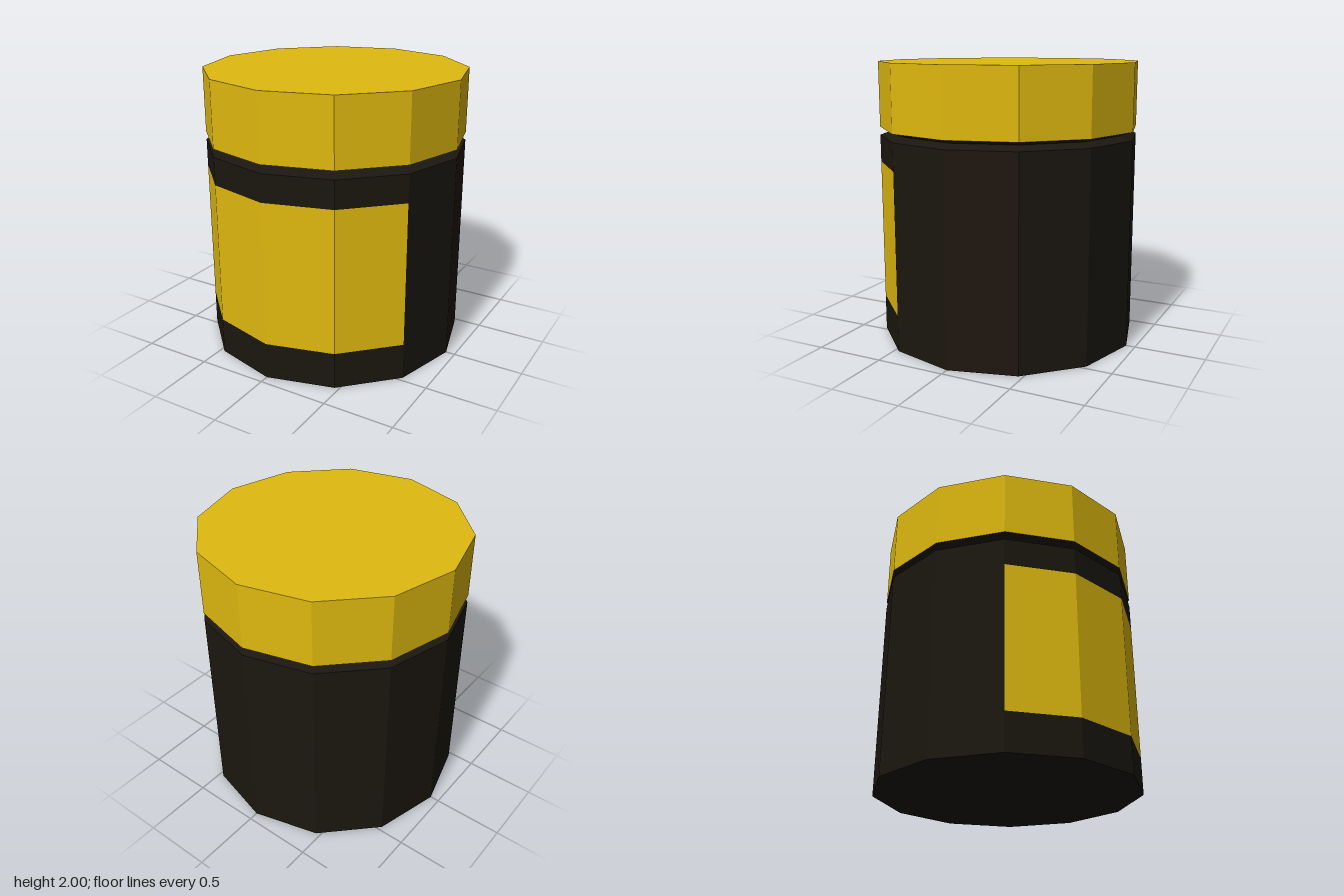
import * as THREE from 'three';

const RADIUS = 0.935;      // outer corner radius of the twelve-sided jar
const NECK_RADIUS = 0.845; // bottom of the groove under the lid
const STEP = 30;           // degrees per facet

const material = (color) => new THREE.MeshStandardMaterial({ color, flatShading: true });

export function createModel() {
  const jar = new THREE.Group();
  jar.name = 'jar';
  const yellow = material(0xdfb90f);
  const dark = material(0x1b1710);
  const brown = material(0x20160f);

  // Faceted wall between two heights, covering an arc in degrees measured from the front
  function wall(name, mat, y0, y1, { r0 = RADIUS, r1 = RADIUS, from = 0, to = 360 } = {}) {
    const geometry = new THREE.CylinderGeometry(
      r1, r0, y1 - y0, (to - from) / STEP, 1, true,
      THREE.MathUtils.degToRad(from), THREE.MathUtils.degToRad(to - from));
    const mesh = new THREE.Mesh(geometry, mat);
    mesh.name = name;
    mesh.position.y = (y0 + y1) / 2;
    jar.add(mesh);
  }

  // Flat twelve-sided end, facing up or down
  function disc(name, mat, y, up) {
    const geometry = new THREE.CircleGeometry(RADIUS, 360 / STEP);
    geometry.rotateX(up ? -Math.PI / 2 : Math.PI / 2);
    const mesh = new THREE.Mesh(geometry, mat);
    mesh.name = name;
    mesh.position.y = y;
    jar.add(mesh);
  }

  // Body: the label is set flush into the front four facets
  disc('base', dark, 0, false);
  wall('labelLowerBorder', dark, 0, 0.26, { from: -60, to: 60 });
  wall('label', yellow, 0.26, 1.28, { from: -60, to: 60 });
  wall('labelUpperBorder', dark, 1.28, 1.475, { from: -60, to: 60 });
  wall('leftSide', dark, 0, 1.475, { from: 60, to: 90 });
  wall('seamPanel', brown, 0, 1.475, { from: 90, to: 120 });
  wall('back', dark, 0, 1.475, { from: 120, to: 300 });

  // V-shaped groove between body and lid
  wall('shoulder', dark, 1.475, 1.505, { r1: NECK_RADIUS });
  wall('lidUnderside', dark, 1.505, 1.533, { r0: NECK_RADIUS });

  // Lid
  wall('lidRim', yellow, 1.533, 2);
  disc('lidTop', yellow, 2, true);

  return jar;
}
